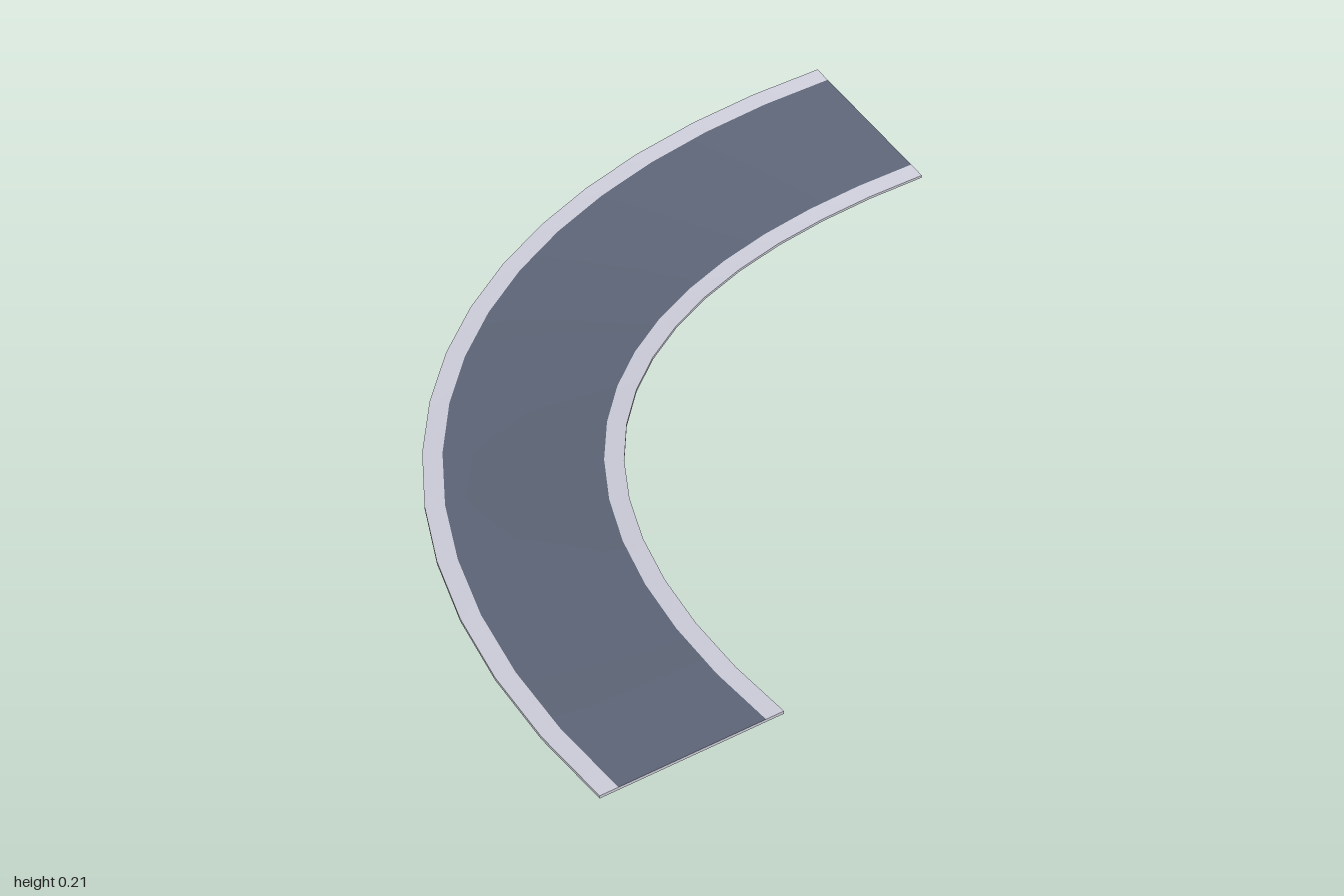
import * as THREE from 'three';

const SEGMENTS = 16, INNER = 1.6, OUTER = 2, KERB = 0.04, THICK = 0.006;

// Point on the banked quarter bend: radius r, angle t, drop below the top face
function bendPoint(r, t, drop = 0) {
  const across = (r - INNER) / (OUTER - INNER);
  const low = THICK + 0.101 * across;
  const y = low + (0.207 - low) * Math.cos(t) ** 2 - drop;
  return new THREE.Vector3(1 - r * Math.cos(t), y, 1 - r * Math.sin(t));
}

// Surface between two rows of points
function strip(rowA, rowB) {
  const n = rowA.length, index = [];
  for (let i = 0; i < n - 1; i++) {
    index.push(i, i + 1, n + i, i + 1, n + i + 1, n + i);
  }
  const geometry = new THREE.BufferGeometry().setFromPoints([...rowA, ...rowB]);
  geometry.setIndex(index);
  geometry.computeVertexNormals();
  return geometry;
}

// Row of points running the length of the bend
function row(r, drop) {
  return Array.from({ length: SEGMENTS + 1 }, (_, i) =>
    bendPoint(r, (i / SEGMENTS) * Math.PI / 2, drop));
}

export function createModel() {
  const group = new THREE.Group();
  const material = (name, color) => {
    const m = new THREE.MeshStandardMaterial({ color });
    m.name = name;
    return m;
  };
  const asphalt = material('asphalt', 0x5c6476);
  const concrete = material('pale concrete', 0xcacbd7);

  const add = (name, geometry, mat) => {
    const mesh = new THREE.Mesh(geometry, mat);
    mesh.name = name;
    group.add(mesh);
  };
  const ribbon = (name, r0, d0, r1, d1, mat) =>
    add(name, strip(row(r0, d0), row(r1, d1)), mat);

  // Top: road with the pale slab showing along each edge
  ribbon('innerEdgeBand', INNER, 0, INNER + KERB, 0, concrete);
  ribbon('roadSurface', INNER + KERB, 0, OUTER - KERB, 0, asphalt);
  ribbon('outerEdgeBand', OUTER - KERB, 0, OUTER, 0, concrete);

  // Thin slab sides and underside
  ribbon('outerSide', OUTER, 0, OUTER, THICK, concrete);
  ribbon('underside', OUTER, THICK, INNER, THICK, concrete);
  ribbon('innerSide', INNER, THICK, INNER, 0, concrete);

  // Closed ends
  const cap = (name, t, radii) => add(name,
    strip(radii.map(r => bendPoint(r, t)), radii.map(r => bendPoint(r, t, THICK))), concrete);
  cap('flatEnd', 0, [INNER, OUTER]);
  cap('bankedEnd', Math.PI / 2, [OUTER, INNER]);

  return group;
}
